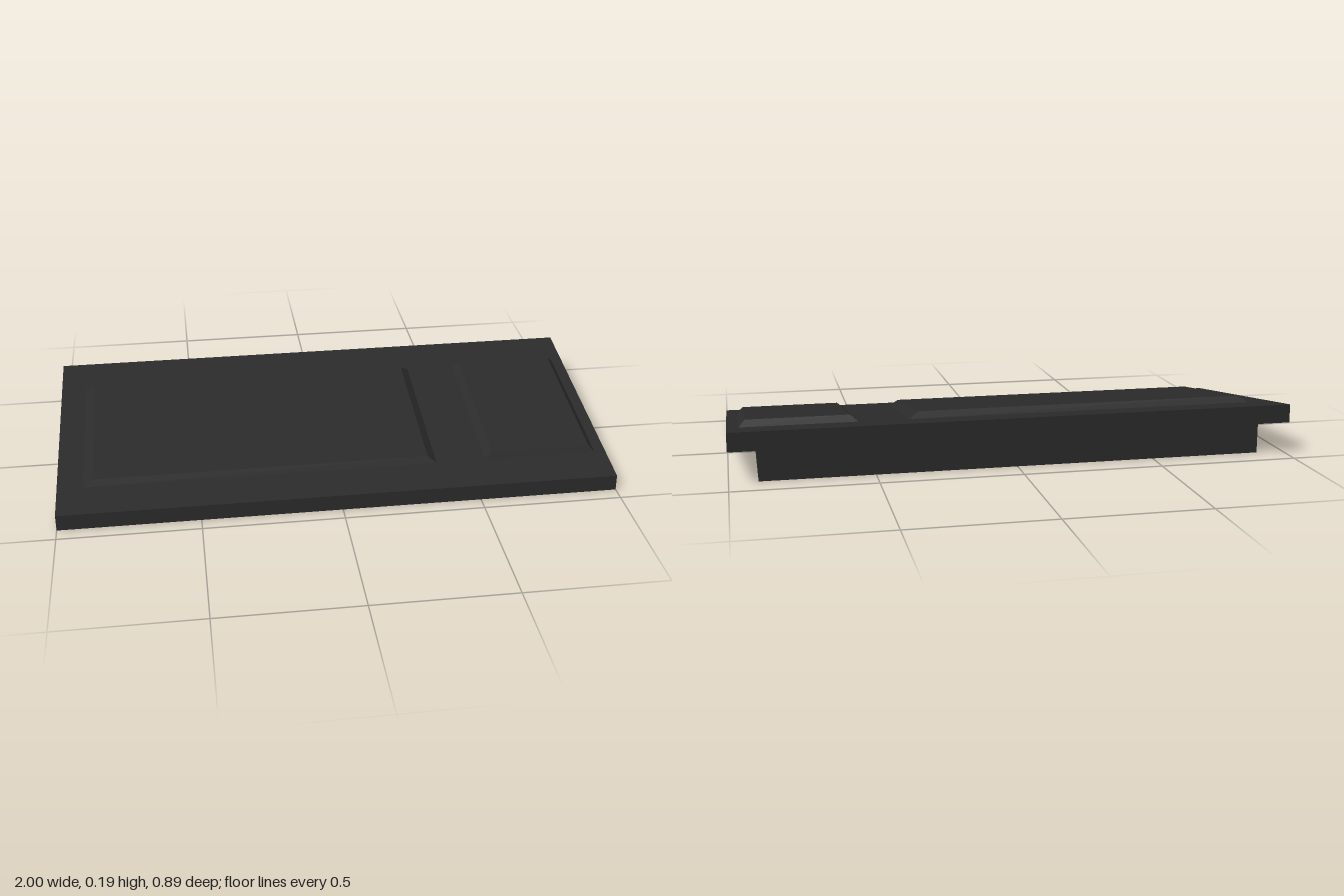
import * as THREE from 'three';

// Height of the sloping deck and of its underside at depth z
const deckY = (z) => 0.057 + (0.443 - z) * 0.1464;
const underY = (z) => (0.446 - z) * 0.135;

// A box whose every corner is placed by a rule of its signs (sx, sy, sz)
function shapedBox(name, material, rule) {
  const geometry = new THREE.BoxGeometry(2, 2, 2);
  const p = geometry.attributes.position;
  for (let i = 0; i < p.count; i++) {
    p.setXYZ(i, ...rule(p.getX(i), p.getY(i) > 0, p.getZ(i) > 0));
  }
  geometry.computeVertexNormals();
  const mesh = new THREE.Mesh(geometry, material);
  mesh.name = name;
  return mesh;
}

// A raised key bed with bevelled sides; base and top are [minX, maxX]
function keyBed(name, material, base, top) {
  return shapedBox(name, material, (sx, up, front) => {
    const x = (up ? top : base)[sx > 0 ? 1 : 0];
    if (up) return front ? [x, 0.102, 0.292] : [x, 0.185, -0.262];
    const z = front ? 0.303 : -0.285;
    return [x, deckY(z) - 0.001, z];
  });
}

export function createModel() {
  const group = new THREE.Group();
  group.name = 'keyboard';
  const black = new THREE.MeshStandardMaterial({ color: 0x2b2b2b });
  black.name = 'black plastic';

  // Tilted slab, slightly leaning at the front edge
  group.add(shapedBox('deck', black, (sx, up, front) => {
    if (front) return up ? [sx, 0.057, 0.443] : [sx, 0, 0.446];
    return up ? [sx, 0.187, -0.445] : [sx, 0.12, -0.445];
  }));

  // Main key area and number pad
  group.add(keyBed('mainKeyBed', black, [-0.91, 0.365], [-0.872, 0.332]));
  group.add(keyBed('numberPad', black, [0.545, 0.96], [0.572, 0.936]));

  // Wedge foot that holds the deck up, thinning out toward the front
  group.add(shapedBox('wedgeFoot', black, (sx, up, front) => {
    const z = front ? 0.435 : -0.397;
    return [sx * 0.9, up ? underY(z) + 0.004 : 0, z];
  }));

  return group;
}
